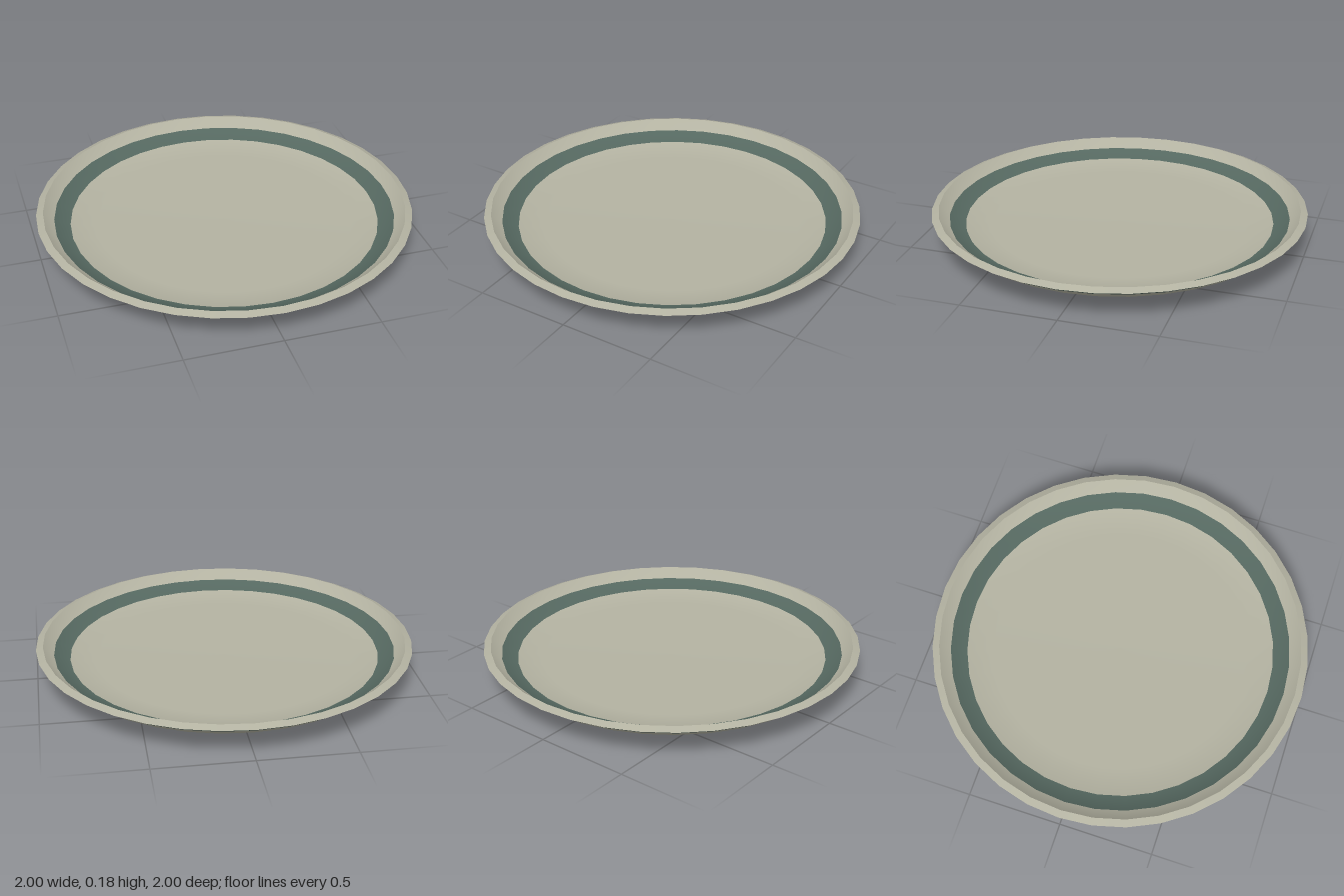
import * as THREE from 'three';

const SEGMENTS = 36;

const cream = new THREE.MeshStandardMaterial({ color: 0xb3b2a1 });
cream.name = 'creamGlaze';
const green = new THREE.MeshStandardMaterial({ color: 0x556860 });
green.name = 'greenGlaze';

// Turns a smooth profile and splits off one step of it as a coloured band,
// so the shading runs on unbroken across the colour change.
function addTurned(group, name, profile, bandStep = -1, bandName = '') {
  const turned = new THREE.LatheGeometry(profile.map(([r, y]) => new THREE.Vector2(r, y)), SEGMENTS);
  const steps = profile.length - 1;
  const body = [];
  const band = [];
  for (let i = 0; i < turned.index.count; i++) {
    const step = Math.floor(i / 6) % steps;
    (step === bandStep ? band : body).push(turned.index.getX(i));
  }
  const addMesh = (meshName, index, material) => {
    const geometry = turned.clone();
    geometry.setIndex(index);
    const mesh = new THREE.Mesh(geometry, material);
    mesh.name = meshName;
    group.add(mesh);
  };
  addMesh(name, body, cream);
  if (band.length) addMesh(bandName, band, green);
}

export function createModel() {
  const plate = new THREE.Group();
  plate.name = 'plate';

  // Flat base
  addTurned(plate, 'base', [[0, 0], [0.64, 0]]);

  // Foot and flared underside, with a green stripe below the edge
  addTurned(plate, 'underside',
    [[0.64, 0], [0.69, 0.05], [0.9, 0.095], [0.97, 0.145], [1, 0.165]], 3, 'outerStripe');

  // Bevelled lip
  addTurned(plate, 'lip', [[1, 0.165], [0.963, 0.18]]);

  // Inner wall and dished floor, with a wide green ring
  addTurned(plate, 'dish',
    [[0.963, 0.18], [0.907, 0.131], [0.823, 0.097], [0.68, 0.075], [0, 0.072]], 1, 'innerRing');

  return plate;
}
